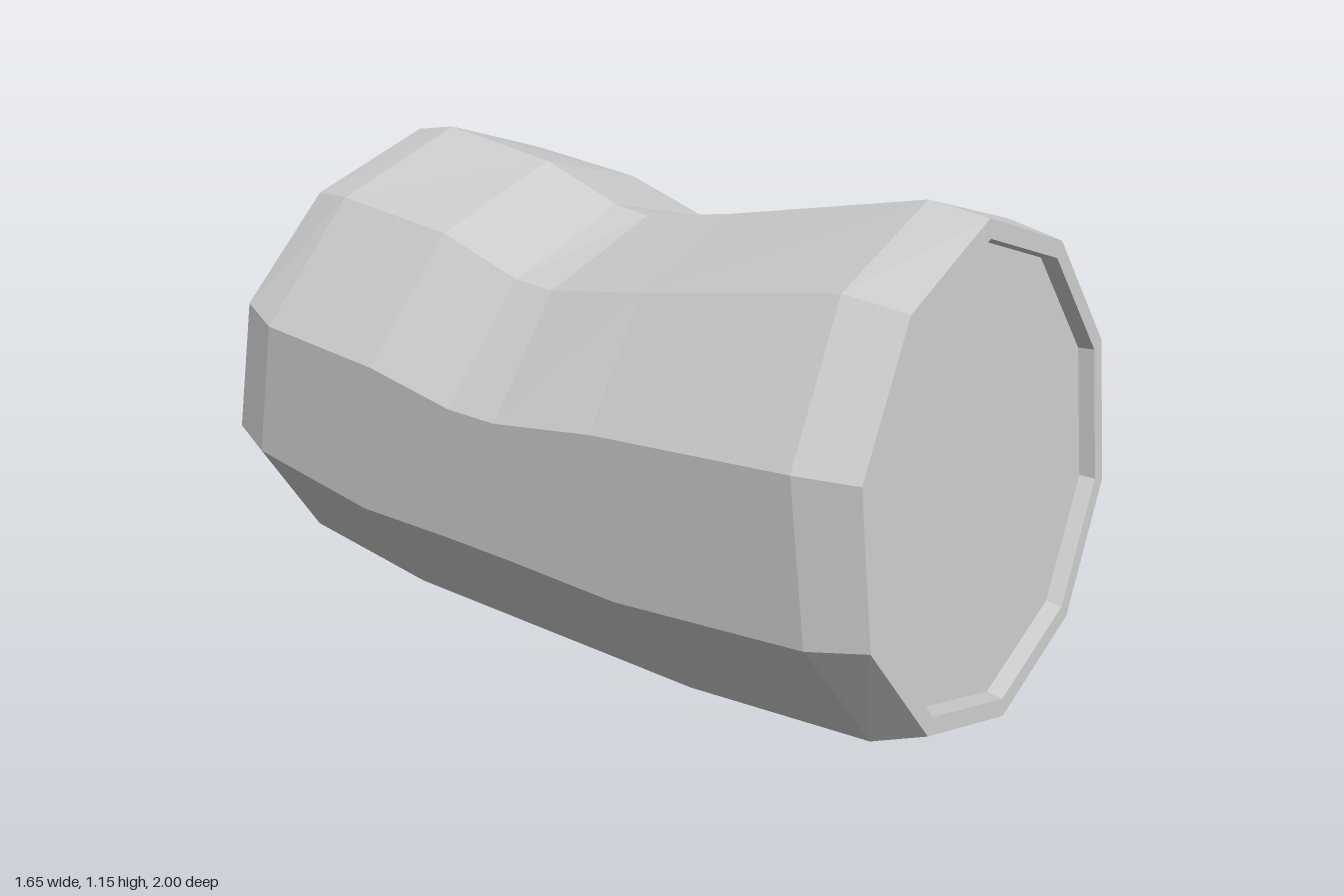
import * as THREE from 'three';

const SIDES = 10;
const YAW = THREE.MathUtils.degToRad(26);

// Ring: radius for the width, z of its top and bottom, six heights from top to bottom
function makeRing(radius, zTop, zBottom, heights) {
  const points = [];
  const yTop = heights[0], yBottom = heights[5];
  for (let i = 0; i < SIDES; i++) {
    const angle = (i / SIDES) * Math.PI * 2;
    const y = heights[i <= 5 ? i : SIDES - i];
    const z = THREE.MathUtils.mapLinear(y, yTop, yBottom, zTop, zBottom) / Math.cos(YAW);
    points.push(new THREE.Vector3(Math.sin(angle) * radius, y, z));
  }
  return points;
}

function centreOf(ring) {
  return ring.reduce((sum, p) => sum.add(p), new THREE.Vector3()).divideScalar(ring.length);
}

function inset(ring, factor, dz) {
  const c = centreOf(ring);
  return ring.map((p) => p.clone().sub(c).multiplyScalar(factor).add(c).add(new THREE.Vector3(0, 0, dz)));
}

function toMesh(name, corners) {
  const geometry = new THREE.BufferGeometry().setFromPoints(corners);
  geometry.computeVertexNormals();
  const mesh = new THREE.Mesh(geometry, new THREE.MeshStandardMaterial({ color: 0xcccccc, flatShading: true }));
  mesh.name = name;
  return mesh;
}

// Joins rings listed from front to back, facing outward
function loft(name, rings) {
  const corners = [];
  for (let j = 0; j < rings.length - 1; j++) {
    for (let i = 0; i < SIDES; i++) {
      const n = (i + 1) % SIDES;
      const a = rings[j][i], b = rings[j][n], c = rings[j + 1][i], d = rings[j + 1][n];
      corners.push(a, b, c, b, d, c);
    }
  }
  return toMesh(name, corners);
}

function cap(name, ring, facesFront) {
  const c = centreOf(ring);
  const corners = [];
  for (let i = 0; i < SIDES; i++) {
    const a = ring[i], b = ring[(i + 1) % SIDES];
    corners.push(c, ...(facesFront ? [b, a] : [a, b]));
  }
  return toMesh(name, corners);
}

export function createModel() {
  const body = 0.557, rim = 0.52, depth = 0.035;
  const rings = [
    makeRing(rim, 0.72, 0.82, [1.14, 1.03, 0.77, 0.45, 0.195, 0.095]),
    makeRing(body, 0.6, 0.72, [1.155, 1.05, 0.77, 0.43, 0.15, 0.04]),
    makeRing(body, 0.18, 0.33, [1.05, 0.96, 0.73, 0.385, 0.11, 0]),
    makeRing(body, -0.02, 0.03, [1.01, 0.92, 0.69, 0.39, 0.11, 0]),
    makeRing(body, -0.1, -0.16, [1.02, 0.925, 0.69, 0.39, 0.11, 0]),
    makeRing(body, -0.28, -0.42, [1.09, 0.99, 0.73, 0.385, 0.11, 0]),
    makeRing(body, -0.55, -0.75, [1.13, 1.02, 0.755, 0.435, 0.155, 0.06]),
    makeRing(rim, -0.65, -0.85, [1.11, 1.01, 0.78, 0.46, 0.21, 0.11]),
  ];
  const front = rings[0], back = rings[rings.length - 1];
  const frontLip = inset(front, 0.925, 0), frontFloor = inset(front, 0.915, -depth);
  const backLip = inset(back, 0.925, 0), backFloor = inset(back, 0.915, depth);

  const model = new THREE.Group();
  model.name = 'bentTube';
  model.add(
    loft('tubeBody', rings),
    // Rims and shallow recesses at both ends
    loft('frontRim', [frontFloor, frontLip, front]),
    loft('backRim', [back, backLip, backFloor]),
    cap('frontCap', frontFloor, true),
    cap('backCap', backFloor, false)
  );
  model.rotation.y = YAW;

  const group = new THREE.Group();
  group.add(model);
  return group;
}
